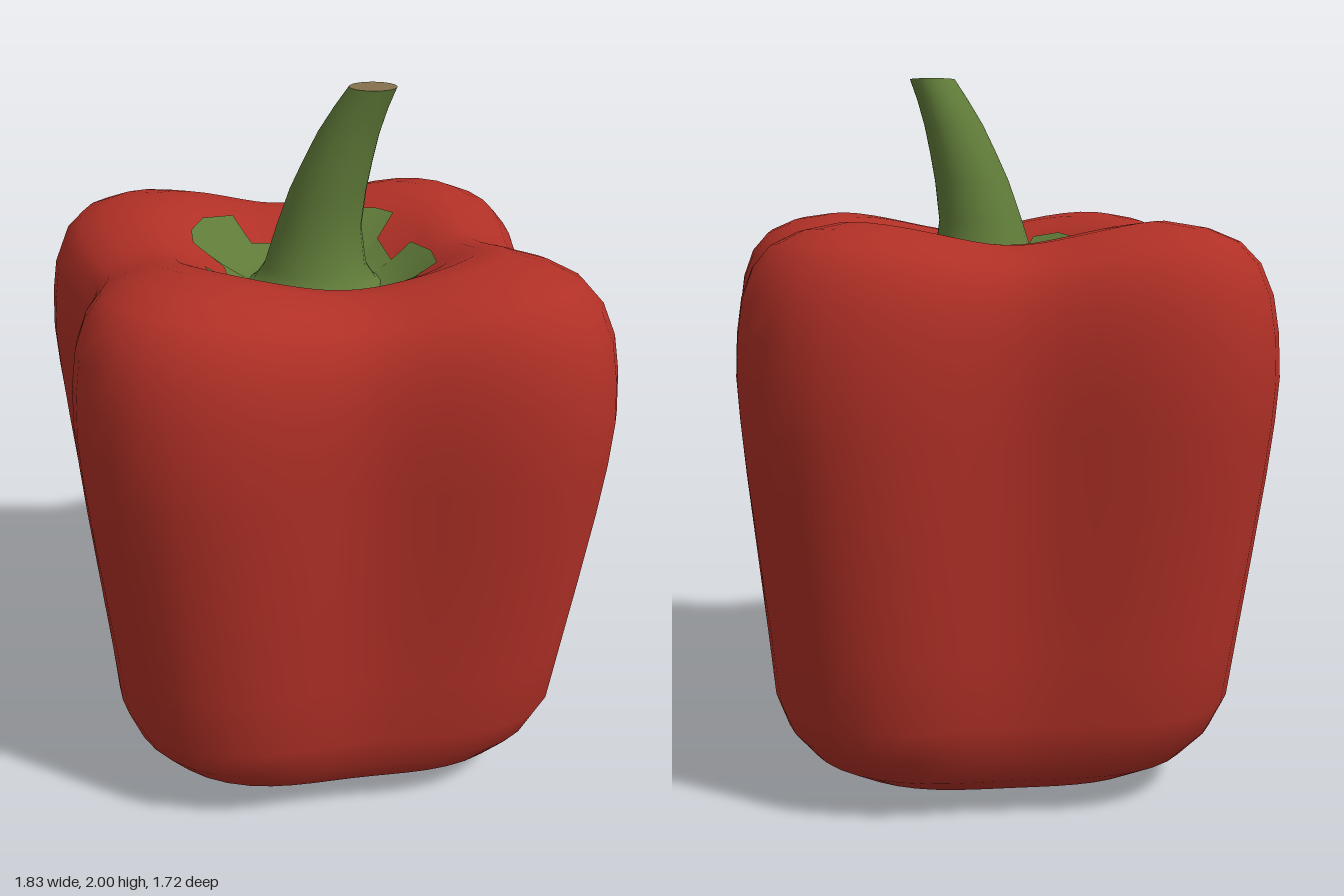
import * as THREE from 'three';

const Z_SCALE = 0.94; // body is slightly narrower front to back

// Body profile, bottom centre to top centre: [lobe radius, height, lobe depth, valley drop]
const PROFILE = [
  [0, 0.03, 0, 0], [0.14, 0.015, 0.02, 0], [0.28, 0, 0.04, 0], [0.42, 0.016, 0.05, 0],
  [0.56, 0.055, 0.06, 0], [0.66, 0.11, 0.07, 0], [0.735, 0.19, 0.08, 0], [0.785, 0.29, 0.092, 0],
  [0.815, 0.48, 0.105, 0], [0.85, 0.7, 0.117, 0], [0.885, 0.93, 0.126, 0], [0.904, 1.08, 0.13, 0],
  [0.913, 1.2, 0.13, 0], [0.906, 1.32, 0.13, 0.01], [0.888, 1.42, 0.13, 0.025], [0.85, 1.505, 0.13, 0.045],
  [0.79, 1.562, 0.125, 0.06], [0.7, 1.595, 0.12, 0.065], [0.58, 1.61, 0.1, 0.06], [0.49, 1.598, 0.085, 0.05],
  [0.4, 1.555, 0.06, 0.035], [0.31, 1.49, 0.03, 0.015], [0.24, 1.445, 0, 0], [0.17, 1.42, 0, 0], [0, 1.42, 0, 0],
];

// Radius and height of one profile row at an angle; four lobes, slightly twisted
function bodyAt([radius, y, depth, drop], angle) {
  const valley = 1 - Math.cos(4 * angle - 0.24);
  return [radius * (1 - depth * (valley - 0.03)), y - (drop * valley) / 2];
}

// Height of the hollow top surface at a point
function topHeight(x, z) {
  const angle = Math.atan2(z / Z_SCALE, x);
  const rho = Math.hypot(x, z / Z_SCALE);
  for (let i = PROFILE.length - 1; i > 18; i--) {
    const [r0, y0] = bodyAt(PROFILE[i], angle);
    const [r1, y1] = bodyAt(PROFILE[i - 1], angle);
    if (rho <= r1) return y0 + ((y1 - y0) * (rho - r0)) / (r1 - r0);
  }
  return 1.6;
}

// Skin closed rings of equal point count, listed from bottom (or outside) to top
function loft(rings) {
  const n = rings[0].length;
  const index = [];
  for (let i = 0; i < rings.length - 1; i++) {
    for (let j = 0; j < n; j++) {
      const a = i * n + j, b = i * n + ((j + 1) % n);
      index.push(a, a + n, b, b, a + n, b + n);
    }
  }
  const geometry = new THREE.BufferGeometry();
  geometry.setAttribute('position', new THREE.Float32BufferAttribute(rings.flat(2), 3));
  geometry.setIndex(index);
  geometry.computeVertexNormals();
  return geometry;
}

function circle(n, point) {
  return Array.from({ length: n }, (_, j) => point((j / n) * Math.PI * 2));
}

export function createModel() {
  const model = new THREE.Group();
  model.name = 'bellPepper';
  const add = (name, geometry, color, side = THREE.FrontSide) => {
    const mesh = new THREE.Mesh(geometry, new THREE.MeshStandardMaterial({ color, side }));
    mesh.name = name;
    model.add(mesh);
    return mesh;
  };
  const red = 0xb03026, green = 0x5f7a38, brown = 0x85704d;

  // Lobed fruit body
  add('body', loft(PROFILE.map((row) => circle(64, (angle) => {
    const [r, y] = bodyAt(row, angle);
    return [r * Math.cos(angle), y, r * Math.sin(angle) * Z_SCALE];
  }))), red);

  // Ragged green calyx lying on the hollow top
  const outline = [
    [0.05, -0.29], [0.14, -0.21], [0.17, -0.27], [0.27, -0.2], [0.34, -0.09], [0.29, -0.02], [0.28, 0.05],
    [0.36, 0.06], [0.31, 0.14], [0.17, 0.24], [0.12, 0.2], [0.04, 0.27], [0.05, 0.34], [-0.03, 0.36],
    [-0.15, 0.31], [-0.24, 0.2], [-0.19, 0.15], [-0.25, 0.09], [-0.34, 0.11], [-0.38, 0.06], [-0.4, -0.03],
    [-0.36, -0.13], [-0.28, -0.09], [-0.2, -0.18], [-0.24, -0.23], [-0.18, -0.3], [-0.1, -0.36], [0, -0.38],
    [0.06, -0.37],
  ];
  const calyxRings = [];
  for (let k = 0; k <= 8; k++) {
    calyxRings.push(outline.map(([x, z]) => {
      const s = THREE.MathUtils.lerp(1, 0.12 / Math.hypot(x, z), k / 8);
      return [x * s, topHeight(x * s, z * s) + 0.008, z * s];
    }));
  }
  add('calyx', loft(calyxRings), green, THREE.DoubleSide);

  // Curved stem flaring into the calyx: [x, y, z, radius]
  const stem = [
    [-0.01, 1.42, -0.02, 0.22], [-0.01, 1.445, -0.02, 0.175], [-0.01, 1.49, -0.022, 0.145],
    [0, 1.6, -0.025, 0.12], [0.028, 1.71, -0.028, 0.107], [0.055, 1.79, -0.033, 0.096],
    [0.085, 1.87, -0.038, 0.085], [0.12, 1.94, -0.042, 0.074], [0.155, 2, -0.045, 0.065],
  ];
  add('stem', loft(stem.map(([x, y, z, r]) =>
    circle(24, (a) => [x + r * Math.cos(a), y, z + r * Math.sin(a)]))), green);

  // Dry cut end of the stem
  const cut = add('stemCut', new THREE.CircleGeometry(0.065, 24).rotateX(-Math.PI / 2), brown);
  cut.position.set(0.155, 2, -0.045);

  return model;
}
